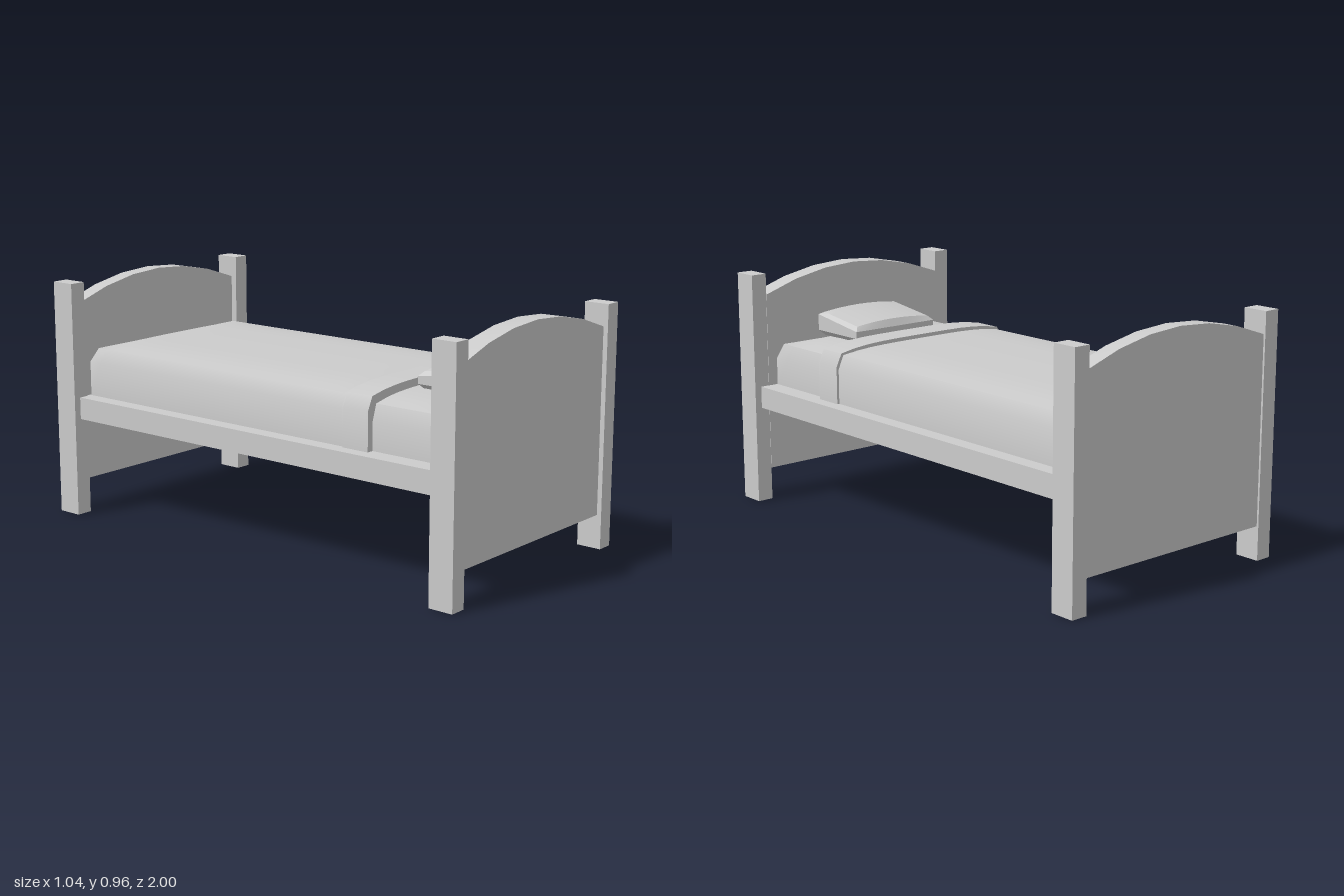
import * as THREE from 'three';
import { toCreasedNormals } from 'three/addons/utils/BufferGeometryUtils.js';

const material = new THREE.MeshStandardMaterial({ color: 0xcccccc });
const openMaterial = new THREE.MeshStandardMaterial({ color: 0xcccccc, side: THREE.DoubleSide });

function addMesh(group, name, geometry, mat = material) {
  const mesh = new THREE.Mesh(geometry, mat);
  mesh.name = name;
  group.add(mesh);
  return mesh;
}

// Reshapes a segmented unit box; rule receives u, v, w in -1..1 and returns [x, y, z]
function shapedBox(segments, rule) {
  const geometry = new THREE.BoxGeometry(2, 2, 2, ...segments);
  const p = geometry.attributes.position;
  for (let i = 0; i < p.count; i++) p.setXYZ(i, ...rule(p.getX(i), p.getY(i), p.getZ(i)));
  return toCreasedNormals(geometry, 0.5);
}

// Bedding slab: straight sides, bevelled shoulder and a gently crowned top
function beddingSlab({ width, z0, z1, base, shoulder, edge, crown, insetX, insetZ }) {
  const heights = [base, shoulder, edge];
  const mid = (z0 + z1) / 2, half = (z1 - z0) / 2;
  return shapedBox([12, 2, 24], (u, v, w) => {
    const layer = Math.round(v + 1);
    const top = layer === 2;
    const x = u * (width / 2 - (top ? insetX : 0));
    const z = mid + w * (half - (top ? insetZ : 0));
    let y = heights[layer];
    if (top) y += crown * (1 - u ** 4) * (insetZ ? 1 - Math.abs(w) ** 20 : 1);
    return [x, y, z];
  });
}

// Arched end board
function boardGeometry(depth) {
  const shape = new THREE.Shape();
  const half = 0.452, steps = 6;
  shape.moveTo(-half, 0.135);
  shape.lineTo(half, 0.135);
  for (let i = 0; i <= steps; i++) {
    const t = 1 - (2 * i) / steps;
    shape.lineTo(t * half, 0.873 + 0.09 * (1 - t * t));
  }
  shape.closePath();
  return toCreasedNormals(new THREE.ExtrudeGeometry(shape, { depth, bevelEnabled: false }), 0.5);
}

export function createModel() {
  const bed = new THREE.Group();
  bed.name = 'bed';

  // Four corner posts, open underneath
  for (const sx of [-1, 1]) {
    for (const sz of [-1, 1]) {
      const geometry = new THREE.BoxGeometry(0.068, 0.96, 0.103);
      const index = Array.from(geometry.index.array);
      index.splice(18, 6); // bottom face
      geometry.setIndex(index);
      const name = (sz > 0 ? 'front' : 'back') + (sx > 0 ? 'Left' : 'Right') + 'Post';
      addMesh(bed, name, geometry, openMaterial).position.set(sx * 0.485, 0.48, sz * 0.9485);
    }
  }

  // End boards between the posts
  addMesh(bed, 'headboard', boardGeometry(0.086)).position.z = 0.895;
  addMesh(bed, 'footboard', boardGeometry(0.069)).position.z = -0.992;

  // Bed base
  addMesh(bed, 'base', new THREE.BoxGeometry(0.98, 0.09, 1.81)).position.y = 0.445;

  // Mattress, blanket and the folded band at the blanket's upper end
  addMesh(bed, 'mattress', beddingSlab({
    width: 0.82, z0: -0.88, z1: 0.893, base: 0.48, shoulder: 0.6, edge: 0.662,
    crown: 0.025, insetX: 0.02, insetZ: 0.025,
  }));
  addMesh(bed, 'blanket', beddingSlab({
    width: 0.855, z0: -0.897, z1: 0.53, base: 0.48, shoulder: 0.63, edge: 0.685,
    crown: 0.02, insetX: 0.025, insetZ: 0.025,
  }));
  addMesh(bed, 'blanketFold', beddingSlab({
    width: 0.875, z0: 0.44, z1: 0.558, base: 0.48, shoulder: 0.64, edge: 0.693,
    crown: 0.024, insetX: 0.025, insetZ: 0,
  }));

  // Pillow, thicker towards the headboard
  const insets = [0.02, 0, 0, 0.018];
  addMesh(bed, 'pillow', shapedBox([8, 3, 8], (u, v, w) => {
    const layer = Math.round((v + 1) * 1.5);
    const t = (w + 1) / 2;
    const heights = [0.682, 0.703, 0.732 + 0.038 * t, 0.75 + 0.03 * t];
    const crown = layer === 3 ? 0.012 * (1 - u * u) : 0;
    return [
      0.022 + u * (0.203 - insets[layer]),
      heights[layer] + crown,
      0.717 + w * (0.131 - insets[layer]),
    ];
  }));

  return bed;
}
